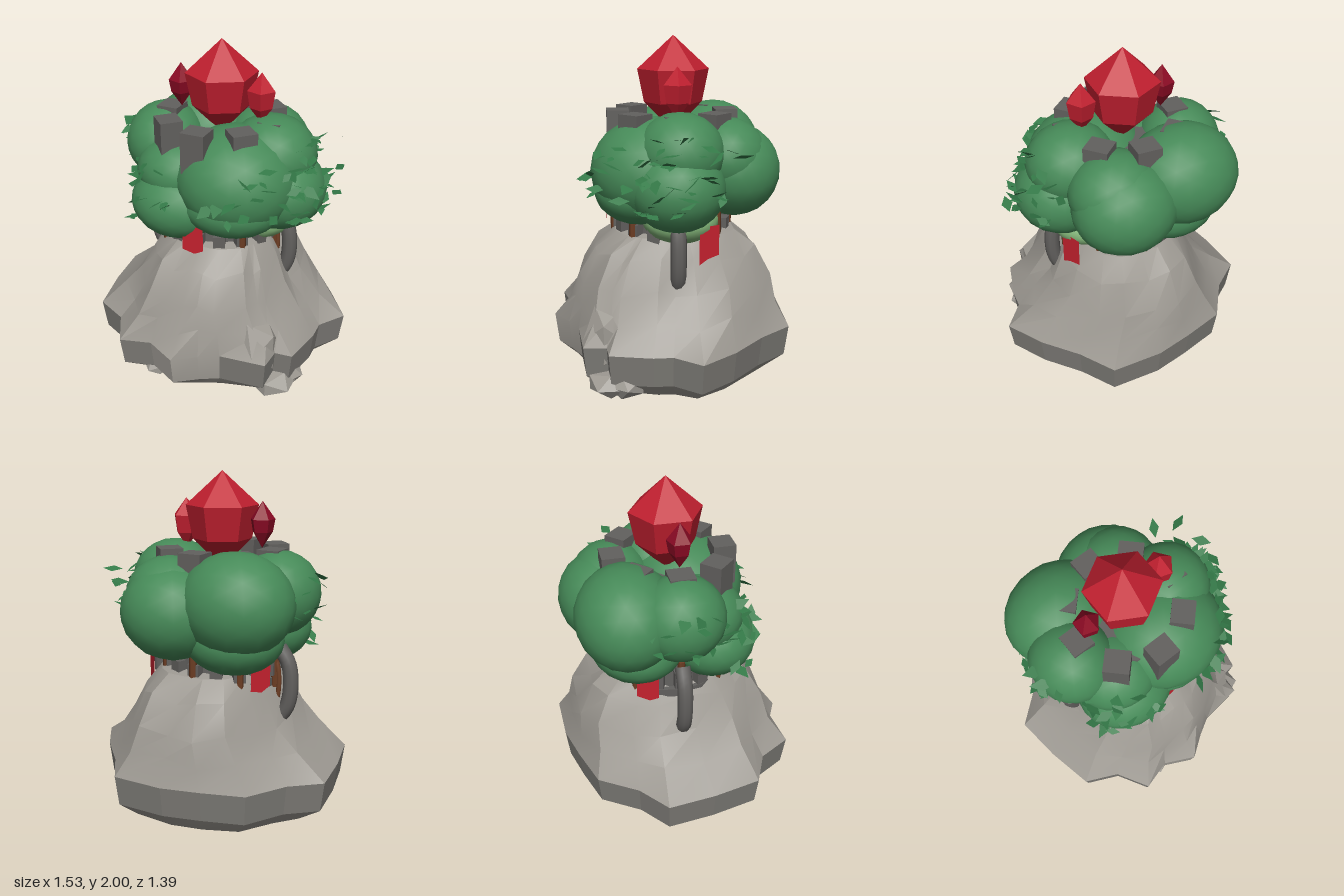
import * as THREE from 'three';
import { toCreasedNormals } from 'three/addons/utils/BufferGeometryUtils.js';

const CX = -0.03, CZ = -0.02; // axis of the tower
const mat = (name, color, extra = {}) => Object.assign(new THREE.MeshStandardMaterial({ color, ...extra }), { name });

function random(seed) {
  let s = seed;
  return () => (s = (s * 16807) % 2147483647) / 2147483647;
}

export function createModel() {
  const M = {
    rock: mat('rock grey', 0x9e9a93),
    boulder: mat('boulder grey', 0x7d7b76),
    stone: mat('dark stone', 0x62605e),
    green: mat('foliage green', 0x468a58),
    lightGreen: mat('light foliage', 0x82b478),
    leaf: mat('leaf green', 0x347a48, { side: THREE.DoubleSide }),
    wood: mat('wood brown', 0x6f3f25),
    red: mat('crystal red', 0xc01f2f),
    crimson: mat('dark crimson', 0x8c0a24),
    cloth: mat('banner red', 0xc8222f, { side: THREE.DoubleSide }),
  };
  const root = new THREE.Group();
  root.name = 'crystalTreeOnRock';
  const add = (name, geo, material, x = 0, y = 0, z = 0, parent = root) => {
    const m = new THREE.Mesh(geo, material);
    m.name = name;
    m.position.set(x, y, z);
    parent.add(m);
    return m;
  };
  const flat = (geo) => {
    const g = geo.index ? geo.toNonIndexed() : geo;
    g.computeVertexNormals();
    return g;
  };

  // Rock base: a craggy outline blended into a rounded dome
  const outline = [
    [-0.77, -0.18], [-0.74, 0.1], [-0.68, 0.38], [-0.49, 0.47], [-0.38, 0.66], [-0.2, 0.61],
    [-0.02, 0.7], [0.11, 0.61], [0.22, 0.55], [0.49, 0.52], [0.5, 0.39], [0.6, 0.38],
    [0.65, 0.14], [0.65, 0.03], [0.76, -0.12], [0.62, -0.32], [0.44, -0.5], [0.3, -0.69],
    [0, -0.68], [-0.22, -0.62], [-0.46, -0.54], [-0.6, -0.32],
  ];
  // rows: height, scale of outline, dome radii in x and z, share of dome, bulge on the diagonals
  const rows = [
    [0.045, 0.83, 0.57, 0.57, 0.35, 0], [0.14, 0.97, 0.6, 0.6, 0, 0], [0.32, 1, 0.6, 0.6, 0, 0],
    [0.46, 0.87, 0.52, 0.63, 0.5, 0.06], [0.6, 0.72, 0.42, 0.59, 0.75, 0.12], [0.77, 0.55, 0.36, 0.48, 0.85, 0.14],
    [0.88, 0.42, 0.29, 0.36, 0.9, 0.1], [0.92, 0.2, 0.14, 0.16, 1, 0],
  ];
  const n = outline.length, pos = [], rockIdx = [], bandIdx = [];
  rows.forEach(([y, s, rx, rz, k, bulge], j) => outline.forEach(([x, z], i) => {
    const a = Math.atan2(z, x), d = k * (1 + bulge * Math.abs(Math.sin(2 * a)));
    const wob = j > 2 && j < 6 ? 0.025 * Math.sin(i * 2.4 + j) : 0;
    pos.push(
      (1 - k) * x * s + d * Math.cos(a) * rx,
      y + wob,
      (1 - k) * z * s + d * Math.sin(a) * rz - k * 0.035);
  }));
  for (let j = 0; j < rows.length - 1; j++) for (let i = 0; i < n; i++) {
    const a = j * n + i, b = j * n + (i + 1) % n;
    const darkFace = j === 1 && (i < 5 || i > 7);
    (darkFace ? bandIdx : rockIdx).push(a, b, b + n, a, b + n, a + n);
  }
  const bottom = pos.length / 3, top = bottom + 1, last = (rows.length - 1) * n;
  pos.push(0, 0.045, 0, 0, 0.92, -0.02);
  for (let i = 0; i < n; i++) {
    const k = (i + 1) % n;
    rockIdx.push(bottom, k, i, top, last + i, last + k);
  }
  const surface = (index) => {
    const g = new THREE.BufferGeometry();
    g.setAttribute('position', new THREE.Float32BufferAttribute(pos, 3));
    return g.setIndex(index);
  };
  add('rockBase', toCreasedNormals(surface(rockIdx), 0.4), M.rock);
  add('rockSides', flat(surface(bandIdx)), M.boulder);

  // Boulders sunk into the base
  const boulderGeo = flat(new THREE.IcosahedronGeometry(1, 0));
  [
    [0.48, 0.11, 0.37, 0.15, 0.08, 0.14], [0.37, 0.33, 0.37, 0.16, 0.22, 0.15],
    [0.52, 0.12, 0.28, 0.12, 0.09, 0.12], [-0.2, 0.1, 0.54, 0.08, 0.05, 0.07],
  ].forEach(([x, y, z, sx, sy, sz], i) => {
    const b = add('boulder', boulderGeo, M.rock, x, y, z);
    b.scale.set(sx, sy, sz);
    b.rotation.y = i * 1.3;
  });

  // Roots under the base
  const rootGeo = new THREE.ConeGeometry(0.036, 0.22, 5).rotateX(Math.PI / 2).translate(0, 0, 0.1);
  for (let i = 0; i < 8; i++) add('root', rootGeo, M.wood, CX, 0.036, CZ).rotation.y = i * Math.PI / 4 + 0.2;
  add('rootTip', new THREE.ConeGeometry(0.11, 0.05, 8).rotateX(Math.PI), M.wood, CX, 0.026, CZ);

  // Tower with a lower and an upper ring of battlements
  const tower = new THREE.Group();
  tower.name = 'tower';
  tower.position.set(CX, 0, CZ);
  root.add(tower);
  add('towerWall', new THREE.CylinderGeometry(0.27, 0.31, 0.66, 16), M.stone, 0, 1.11, 0, tower);
  add('lowerLedge', new THREE.CylinderGeometry(0.34, 0.34, 0.05, 16), M.stone, 0, 0.81, 0, tower);
  for (let i = 0; i < 16; i++) {
    const a = i * Math.PI / 8;
    add('lowerBlock', new THREE.BoxGeometry(0.07, 0.1, 0.06), M.stone,
      Math.sin(a) * 0.32, 0.9, Math.cos(a) * 0.32, tower).rotation.y = a;
  }
  for (let i = 0; i < 8; i++) {
    const a = i * Math.PI / 4, s = Math.sin(a), c = Math.cos(a);
    add('battlement', new THREE.BoxGeometry(0.14, 0.24, 0.13), M.stone, s * 0.315, 1.46, c * 0.315, tower).rotation.y = a;
    add('post', new THREE.CylinderGeometry(0.022, 0.022, 0.26, 6), M.wood, s * 0.345, 0.91, c * 0.345, tower);
  }

  // Curved stone handles on both sides, each with a thin wooden rod inside
  for (const s of [-1, 1]) for (const [name, inset, r, material] of [
    ['handle', 0, 0.045, M.stone], ['handleRod', 0.075, 0.014, M.wood],
  ]) {
    const path = new THREE.CatmullRomCurve3([[0.37, 1.02], [0.43, 0.93], [0.447, 0.8], [0.43, 0.68], [0.38, 0.59]]
      .map(([x, y]) => new THREE.Vector3(s * (x - inset), y, 0)));
    add(name, new THREE.TubeGeometry(path, 16, r, 10), material, 0, 0, 0, tower);
  }

  // Three hanging banners: angle, distance, height
  const bannerShape = new THREE.Shape([[-0.065, 0.14], [0.065, 0.14], [0.065, -0.07], [0.01, -0.1], [-0.065, -0.085]]
    .map((p) => new THREE.Vector2(...p)));
  [[0, 0.39, 0.95], [2, 0.43, 0.83], [-2.08, 0.4, 0.9]].forEach(([a, r, y]) => {
    add('banner', new THREE.ShapeGeometry(bannerShape), M.cloth, Math.sin(a) * r, y, Math.cos(a) * r, tower).rotation.y = a;
  });

  // Foliage clumps: centre, then radii
  const ball = new THREE.IcosahedronGeometry(1, 3);
  const clumps = [
    [0.13, 1.25, 0.11, 0.36, 0.31, 0.35], [-0.2, 1.08, 0.19, 0.29, 0.22, 0.26],
    [0.28, 1.37, -0.04, 0.26, 0.23, 0.25], [0.34, 1.18, -0.02, 0.27, 0.24, 0.27],
    [-0.39, 1.34, -0.03, 0.24, 0.24, 0.25], [-0.27, 1.31, -0.3, 0.33, 0.29, 0.29],
    [0.1, 1.24, -0.37, 0.3, 0.27, 0.27], [0.14, 1.32, -0.32, 0.26, 0.23, 0.24],
    [0.12, 1.13, 0.18, 0.31, 0.19, 0.26], [-0.22, 1.1, -0.24, 0.29, 0.2, 0.27],
    [-0.22, 1.25, 0.12, 0.26, 0.21, 0.25],
  ];
  clumps.forEach(([x, y, z, ...r]) => add('foliage', ball, M.green, x, y, z).scale.set(...r));
  add('lightFoliage', ball, M.lightGreen, 0.21, 0.97, -0.05).scale.set(0.21, 0.13, 0.22);

  // Pointed leaves scattered over the front and sides
  const leafGeo = new THREE.ShapeGeometry(new THREE.Shape([[0, -0.055], [0.028, 0], [0, 0.055], [-0.028, 0]]
    .map((p) => new THREE.Vector2(...p))));
  const rnd = random(41);
  const leaves = new THREE.Group();
  leaves.name = 'leaves';
  root.add(leaves);
  const leaf = (x, y, z, size) => {
    const l = add('leaf', leafGeo, M.leaf, x, y, z, leaves);
    l.rotation.set(-1.4 + (rnd() - 0.5) * 1.2, (rnd() - 0.5) * 1.3, rnd() * 6.3);
    l.scale.setScalar(size);
  };
  const hosts = [0, 1, 2, 3, 3, 2, 4, 0, 10];
  for (let i = 0; i < 100; i++) {
    const [x, y, z, rx, ry, rz] = clumps[hosts[i % hosts.length]];
    const out = Math.atan2(x - CX, z - CZ) + (rnd() - 0.5) * 1.9;
    const el = (rnd() - 0.5) * 1.1, k = 1 + rnd() * 0.08;
    leaf(x + Math.sin(out) * Math.cos(el) * rx * k, y + Math.sin(el) * ry * k,
      z + Math.cos(out) * Math.cos(el) * rz * k, 0.7 + rnd() * 0.6);
  }
  // A few loose leaves off the right side
  [[0.57, 1.43, -0.28], [0.65, 1.31, -0.15], [0.67, 1.2, -0.05], [0.46, 1.38, -0.36], [0.61, 1.25, 0.02]]
    .forEach((p) => leaf(...p, 1.1));

  // Crystals: faceted lathes with a girdle and pointed ends
  const crystal = (name, profile, sides, material, x, z, turn = 0) => {
    const g = new THREE.LatheGeometry(profile.map((p) => new THREE.Vector2(...p)), sides);
    add(name, flat(g), material, x, 0, z).rotation.y = turn;
  };
  crystal('mainCrystal', [[0, 1.46], [0.07, 1.52], [0.17, 1.62], [0.208, 1.81], [0, 2]], 6, M.red, -0.03, -0.03);
  crystal('leftCrystal', [[0, 1.58], [0.06, 1.67], [0.073, 1.74], [0, 1.84]], 5, M.crimson, -0.275, -0.01, Math.PI / 2);
  crystal('rightCrystal', [[0, 1.55], [0.066, 1.64], [0.082, 1.74], [0, 1.84]], 5, M.red, 0.21, -0.03, Math.PI / 2);

  return root;
}
